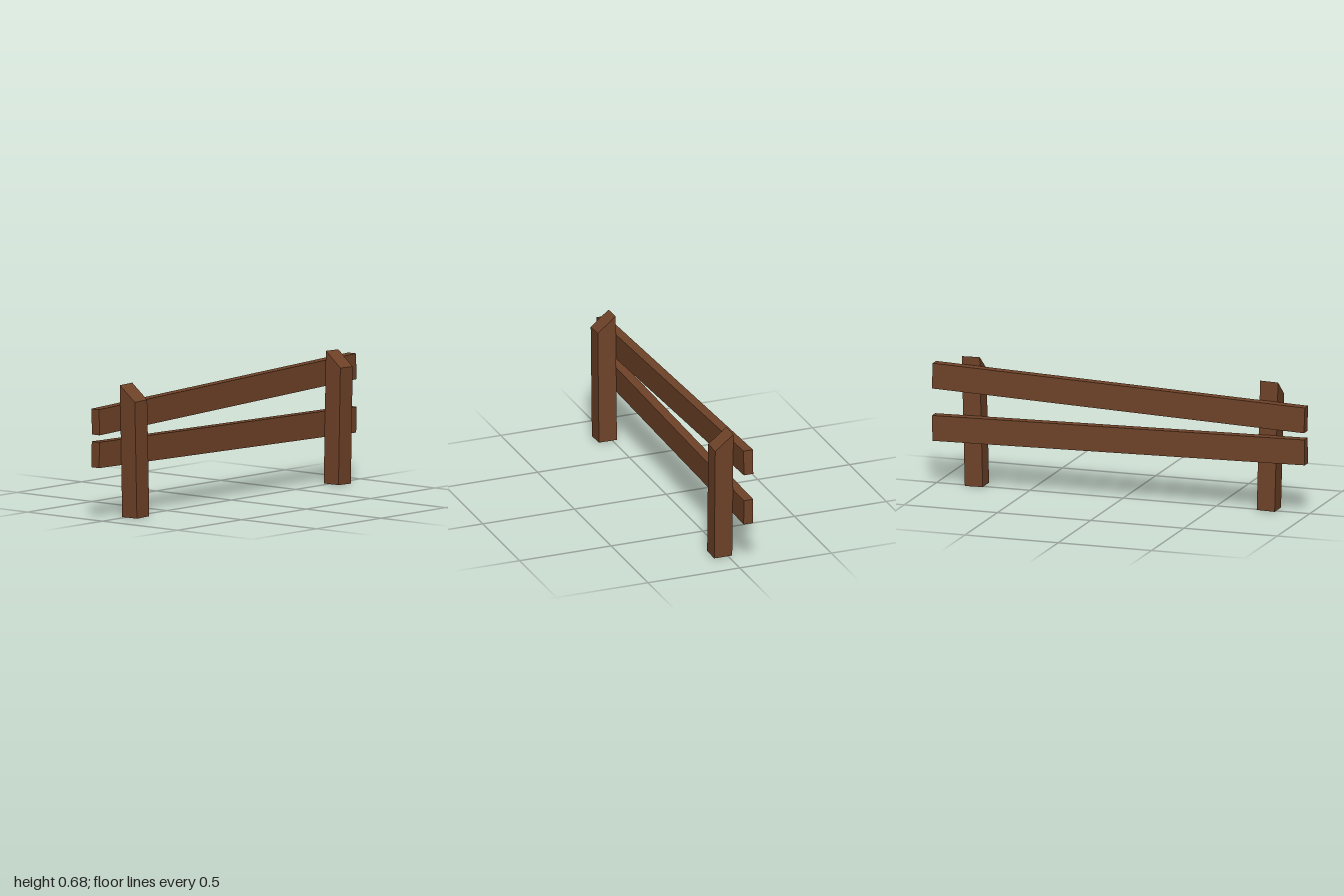
import * as THREE from 'three';

const wood = new THREE.MeshStandardMaterial({ color: 0x6f4228, flatShading: true });

// Square post with a top that slopes down towards the front
function makePost(name, x, lean) {
  const width = 0.096;
  const profile = new THREE.Shape([
    new THREE.Vector2(0.075, 0),
    new THREE.Vector2(0.075, 0.597),
    new THREE.Vector2(-0.023, 0.676),
    new THREE.Vector2(-0.023, 0),
  ]);
  const geometry = new THREE.ExtrudeGeometry(profile, { depth: width, bevelEnabled: false });
  geometry.translate(0, 0, -width / 2).rotateY(-Math.PI / 2);
  const post = new THREE.Mesh(geometry, wood);
  post.name = name;
  post.position.set(x, 0.0013, 0);
  post.rotation.z = lean;
  return post;
}

// Plank fixed to the back of the posts, slightly tilted
function makeRail(name, y, tilt) {
  const rail = new THREE.Mesh(new THREE.BoxGeometry(1.996, 0.132, 0.051), wood);
  rail.name = name;
  rail.position.set(0, y, -0.0487);
  rail.rotation.z = tilt;
  return rail;
}

export function createModel() {
  const fence = new THREE.Group();
  fence.name = 'fence';
  fence.add(
    makePost('rightPost', -0.772, 0.027),
    makePost('leftPost', 0.793, -0.024),
    makeRail('upperRail', 0.538, 0.036),
    makeRail('lowerRail', 0.318, -0.017),
  );
  return fence;
}
